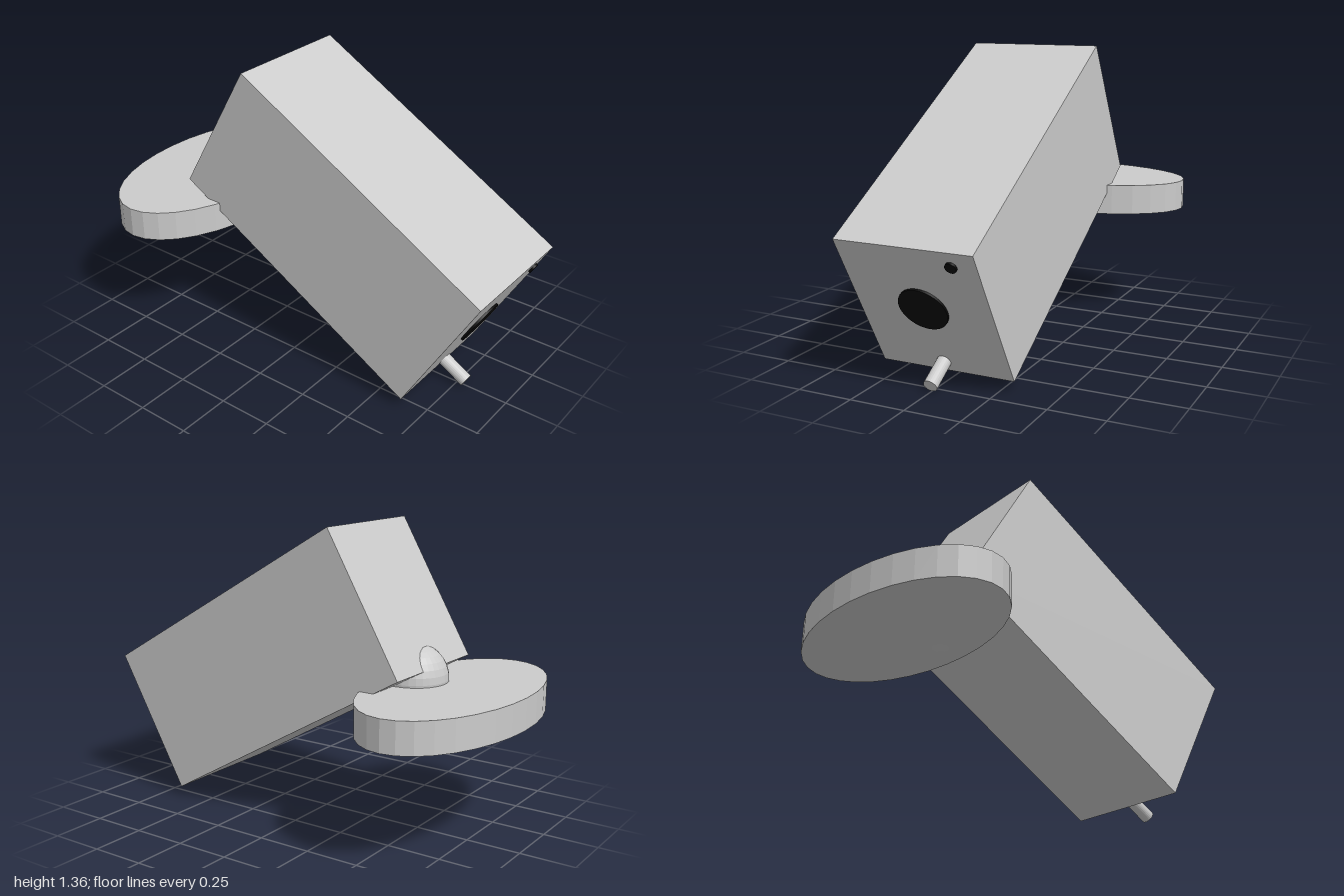
import * as THREE from 'three';

export function createModel() {
  const model = new THREE.Group();
  const grey = new THREE.MeshStandardMaterial({ color: 0xcccccc, flatShading: true });
  const black = new THREE.MeshStandardMaterial({ color: 0x0a0a0a });

  const add = (parent, name, geometry, material, x, y, z) => {
    const mesh = new THREE.Mesh(geometry, material);
    mesh.name = name;
    mesh.position.set(x, y, z);
    parent.add(mesh);
    return mesh;
  };
  // Cylinder whose axis runs along z
  const rod = (r, length, sides = 32) =>
    new THREE.CylinderGeometry(r, r, length, sides).rotateX(Math.PI / 2);

  // Tilted box with everything on its front face
  const housing = new THREE.Group();
  housing.name = 'housing';
  housing.position.set(0, 0.705, 0.215);
  housing.rotation.x = Math.PI / 6;
  model.add(housing);

  const front = 0.703;
  add(housing, 'body', new THREE.BoxGeometry(0.62, 0.703, 2 * front), grey, 0, 0, 0);
  add(housing, 'largeOpening', rod(0.11, 0.02), black, 0, 0.02, front);
  add(housing, 'smallOpening', rod(0.025, 0.02), black, 0.2, 0.28, front);
  add(housing, 'peg', rod(0.031, 0.2, 24), grey, 0, -0.295, 0.74);

  // Ball joint resting in the oval mounting plate
  add(model, 'ballJoint', new THREE.SphereGeometry(0.155, 32, 16), grey, 0, 0.695, -0.465);
  const plate = new THREE.CylinderGeometry(1, 1, 0.14, 32).scale(0.6, 1, 0.333);
  add(model, 'mountingPlate', plate, grey, 0, 0.615, -0.667);

  return model;
}
